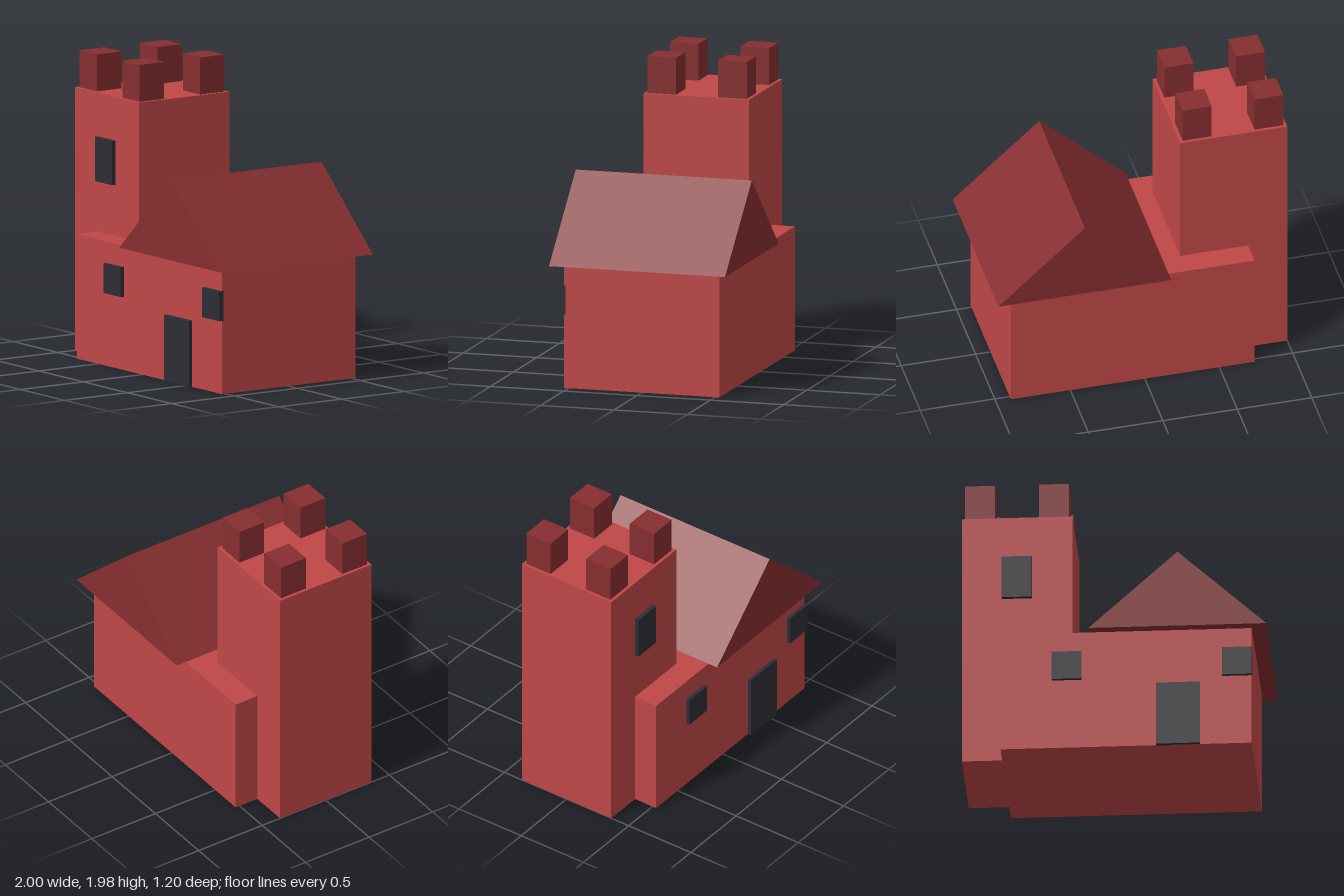
import * as THREE from 'three';

export function createModel() {
  const group = new THREE.Group();
  const material = (name, color) => {
    const m = new THREE.MeshStandardMaterial({ color });
    m.name = name;
    return m;
  };
  const wall = material('red wall', 0xc04747);
  const roofRed = material('dark red roof', 0x862e30);
  const dark = material('dark opening', 0x2d2d35);

  // Box given by its extents on each axis
  const box = (name, mat, [x0, x1], [y0, y1], [z0, z1]) => {
    const mesh = new THREE.Mesh(new THREE.BoxGeometry(x1 - x0, y1 - y0, z1 - z0), mat);
    mesh.position.set((x0 + x1) / 2, (y0 + y1) / 2, (z0 + z1) / 2);
    mesh.name = name;
    group.add(mesh);
  };

  // Main volumes
  box('tower', wall, [-1, -0.28], [0, 1.738], [-0.36, 0.36]);
  box('house', wall, [-0.737, 0.9], [0, 0.822], [-0.53, 0.53]);

  // Gabled roof prism, overhanging on the outer side
  const gable = new THREE.Shape();
  gable.moveTo(-0.16, 0.822);
  gable.lineTo(1, 0.822);
  gable.lineTo(0.42, 1.352);
  gable.closePath();
  const roofGeometry = new THREE.ExtrudeGeometry(gable, { depth: 1.2, bevelEnabled: false });
  roofGeometry.translate(0, 0, -0.6);
  const roof = new THREE.Mesh(roofGeometry, roofRed);
  roof.name = 'roof';
  group.add(roof);

  // Battlements on the tower corners
  for (const x of [-0.98, -0.498]) {
    for (const z of [-0.338, 0.143]) {
      box('battlement', roofRed, [x, x + 0.195], [1.738, 1.982], [z, z + 0.195]);
    }
  }

  // Raised windows and door
  box('towerWindow', dark, [-0.738, -0.543], [1.158, 1.45], [0.35, 0.388]);
  for (const x of [-0.402, 0.708]) {
    box('houseWindow', dark, [x, x + 0.193], [0.484, 0.68], [0.52, 0.554]);
  }
  box('door', dark, [0.277, 0.563], [0, 0.438], [0.52, 0.554]);

  return group;
}
